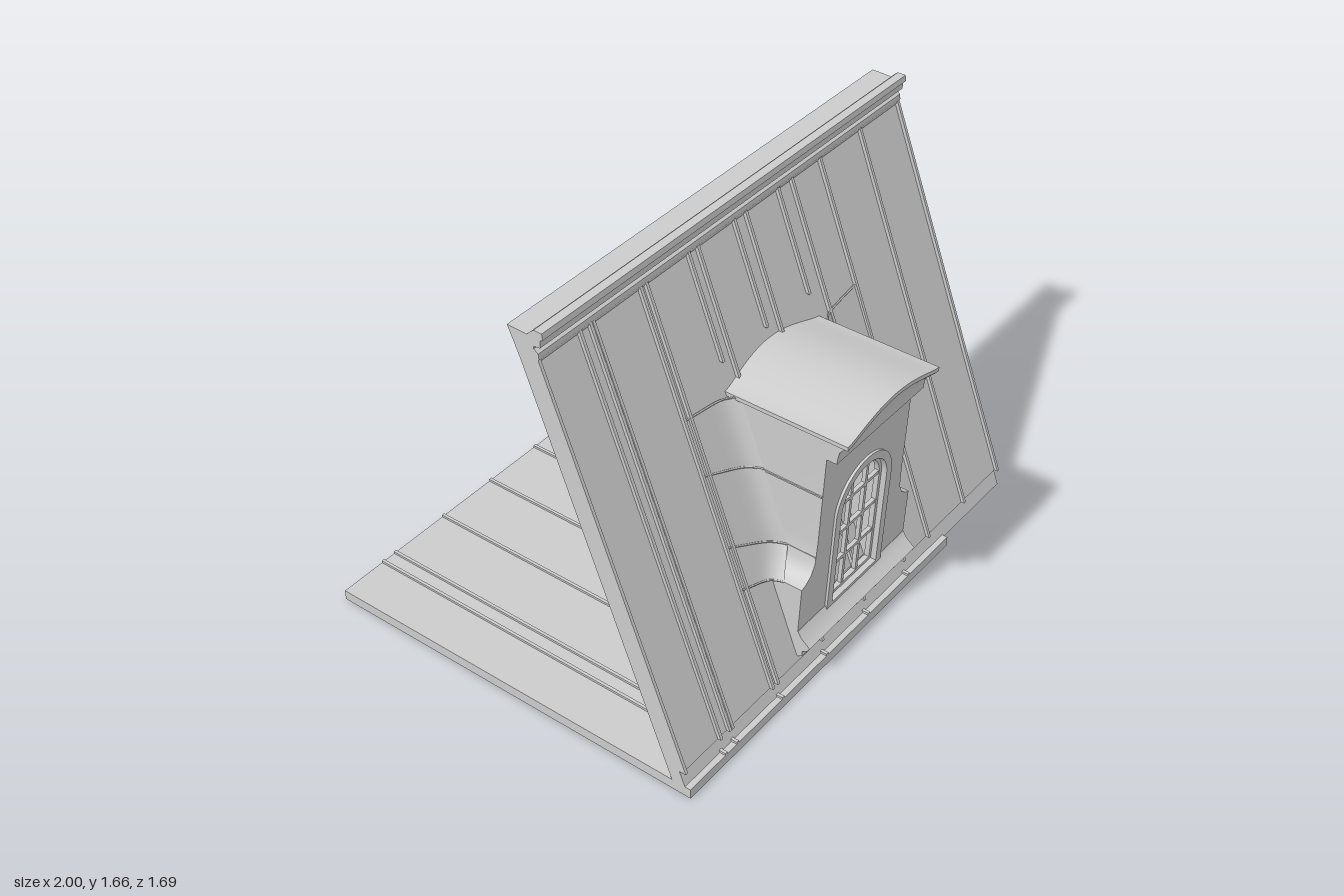
import * as THREE from 'three';
import { toCreasedNormals } from 'three/addons/utils/BufferGeometryUtils.js';

const mat = new THREE.MeshStandardMaterial({ color: 0xcccccc, side: THREE.DoubleSide });

// z of the back plane of the sloping roof, and of the dormer facade, at height y
const roofBack = (y) => 0.686 - 0.3866 * (y - 0.03);
const facade = (y) => 0.712 + 0.05 * (y - 0.1);

// rise of the curved dormer roof at x
const arch = (x) => 0.053 * Math.pow(1 - Math.min(1, Math.abs(x) / 0.275) ** 2, 1.4);

function add(parent, name, geo, crease = 0.6) {
  const g = toCreasedNormals(geo, crease);
  const m = new THREE.Mesh(g, mat);
  m.name = name;
  parent.add(m);
  return m;
}

// box given by its limits; shear(y) is added to z
function bar(parent, name, x0, x1, y0, y1, z0, z1, shear) {
  const g = new THREE.BoxGeometry(x1 - x0, y1 - y0, z1 - z0);
  g.translate((x0 + x1) / 2, (y0 + y1) / 2, (z0 + z1) / 2);
  if (shear) {
    const p = g.attributes.position;
    for (let i = 0; i < p.count; i++) p.setZ(i, p.getZ(i) + shear(p.getY(i)));
  }
  return add(parent, name, g, 0.3);
}

// extrudes a front outline, then maps its back and front caps to z rules
function between(parent, name, shape, back, front) {
  const g = new THREE.ExtrudeGeometry(shape, { depth: 1, bevelEnabled: false, curveSegments: 20 });
  const p = g.attributes.position;
  for (let i = 0; i < p.count; i++) {
    const y = p.getY(i);
    p.setZ(i, p.getZ(i) > 0.5 ? front(y) : back(y));
  }
  return add(parent, name, g);
}

// extrudes a side profile of [z, y] points along x
function moulding(parent, name, pts, halfWidth) {
  const s = new THREE.Shape(pts.map(([z, y]) => new THREE.Vector2(-z, y)));
  const g = new THREE.ExtrudeGeometry(s, { depth: halfWidth * 2, bevelEnabled: false });
  g.translate(0, 0, -halfWidth);
  g.rotateY(Math.PI / 2);
  return add(parent, name, g);
}

// surface from a rule f(u, v) -> [x, y, z]
function surface(parent, name, nu, nv, f) {
  const pos = [], idx = [];
  for (let j = 0; j <= nv; j++) for (let i = 0; i <= nu; i++) pos.push(...f(i / nu, j / nv));
  for (let j = 0; j < nv; j++) for (let i = 0; i < nu; i++) {
    const a = j * (nu + 1) + i, b = a + nu + 1;
    idx.push(a, a + 1, b + 1, a, b + 1, b);
  }
  const g = new THREE.BufferGeometry();
  g.setAttribute('position', new THREE.Float32BufferAttribute(pos, 3));
  g.setIndex(idx);
  return add(parent, name, g);
}

// round-headed opening outline
function archPath(Type, r, y0) {
  const s = new Type();
  s.moveTo(-r, y0);
  s.lineTo(r, y0);
  s.lineTo(r, 0.645);
  s.absarc(0, 0.645, r, 0, Math.PI, false);
  s.lineTo(-r, y0);
  return s;
}

const sharedSeams = [-0.8, -0.735, -0.47, -0.2, 0.065, 0.33];

function buildFloor() {
  const g = new THREE.Group();
  g.name = 'flatPanel';
  bar(g, 'panelSheet', -1, 0.6, 0.03, 0.041, -0.84, 0.76);
  for (const [z0, z1] of [[-0.84, -0.77], [0.69, 0.76]]) bar(g, 'panelRail', -1, 0.6, 0, 0.03, z0, z1);
  for (const [x0, x1] of [[-1, -0.91], [-0.86, -0.73], [0.53, 0.6]]) bar(g, 'panelStile', x0, x1, 0, 0.03, -0.77, 0.69);
  for (const x of sharedSeams) bar(g, 'panelSeam', x - 0.006, x + 0.006, 0.028, 0.05, -0.84, 0.76);
  return g;
}

function buildRoof() {
  const g = new THREE.Group();
  g.name = 'roofSlope';
  bar(g, 'roofSheet', -1, 1, 0.1, 1.62, 0.04, 0.068, roofBack);
  bar(g, 'eavesStrip', -1, 1, 0.03, 0.1, 0, 0.055, roofBack);
  bar(g, 'backRail', -1, 1, 0.1, 0.12, 0, 0.04, roofBack);
  bar(g, 'backRail', -1, 1, 1.54, 1.63, 0, 0.04, roofBack);
  for (const [x0, x1] of [[-1, -0.91], [-0.86, -0.73], [0.55, 0.65], [0.9, 1]])
    bar(g, 'backStile', x0, x1, 0.12, 1.54, 0, 0.04, roofBack);
  for (const x of [...sharedSeams, -0.75, -0.5, 0.5, 0.75, -0.994, 0.994])
    bar(g, 'roofSeam', x - 0.006, x + 0.006, 0.1, 1.56, 0.038, 0.082, roofBack);
  for (const x of [-0.25, 0, 0.25]) bar(g, 'shortSeam', x - 0.006, x + 0.006, 1.17, 1.56, 0.05, 0.082, roofBack);
  moulding(g, 'ridgeCap', [[0.06, 1.634], [0.14, 1.632], [0.155, 1.648], [0.167, 1.658], [0.2, 1.658], [0.203, 1.635],
    [0.192, 1.628], [0.19, 1.6], [0.165, 1.597], [0.165, 1.588], [0.182, 1.575], [0.184, 1.555], [0.172, 1.533], [0.105, 1.533]], 1);
  return g;
}

function buildDormer() {
  const g = new THREE.Group();
  g.name = 'dormer';

  // body with shouldered base, curved head and window opening
  const half = [[0.335, 0.12], [0.335, 0.43], [0.315, 0.437], [0.285, 0.46], [0.265, 0.5], [0.26, 0.6]];
  for (let i = 0; i <= 8; i++) { const x = 0.26 - i * 0.0325; half.push([x, 1.05 + arch(x)]); }
  const mirrored = half.slice(0, -1).reverse().map(([x, y]) => [-x, y]);
  const body = new THREE.Shape([...half, ...mirrored].map(([x, y]) => new THREE.Vector2(x, y)));
  body.holes.push(archPath(THREE.Path, 0.14, 0.235));
  between(g, 'dormerBody', body, (y) => roofBack(y) + 0.05, facade);

  // curved roof with overhang
  const top = new THREE.Shape();
  const n = 24, w = 0.275;
  for (let i = 0; i <= n; i++) { const x = -w + 2 * w * i / n; top[i ? 'lineTo' : 'moveTo'](x, 1.058 + arch(x)); }
  for (let i = n; i >= 0; i--) { const x = -w + 2 * w * i / n; top.lineTo(x, 1.074 + arch(x)); }
  between(g, 'dormerRoof', top, (y) => roofBack(y) + 0.05, () => 0.845);

  // coved cornice that bends up to follow the roof
  const cove = [[0.75, 0.972, 0], [0.797, 0.972, 0], [0.8, 1.0, 0.3], [0.806, 1.025, 0.7], [0.82, 1.042, 0.9], [0.838, 1.05, 1], [0.838, 1.06, 1]];
  surface(g, 'cornice', 24, cove.length - 1, (u, v) => {
    const [z, y, k] = cove[Math.round(v * (cove.length - 1))];
    const x = -0.262 + 0.524 * u;
    return [x, y + arch(x) * k, z];
  });
  for (const s of [-1, 1]) {
    const end = new THREE.Shape([...cove.map(([z, y]) => new THREE.Vector2(-z, y)), new THREE.Vector2(-0.75, 1.06)]);
    const geo = new THREE.ShapeGeometry(end);
    geo.rotateY(Math.PI / 2);
    geo.translate(s * 0.262, 0, 0);
    add(g, 'corniceEnd', geo);
  }

  // window surround, sash and glazing bars
  const surround = archPath(THREE.Shape, 0.17, 0.2);
  surround.holes.push(archPath(THREE.Path, 0.138, 0.235));
  between(g, 'windowSurround', surround, (y) => facade(y) - 0.03, (y) => facade(y) + 0.01);
  const sash = archPath(THREE.Shape, 0.142, 0.233);
  sash.holes.push(archPath(THREE.Path, 0.124, 0.25));
  between(g, 'windowSash', sash, (y) => facade(y) - 0.032, (y) => facade(y) - 0.012);
  for (const x of [-0.045, 0.045]) bar(g, 'uprightGlazingBar', x - 0.007, x + 0.007, 0.24, 0.768, -0.03, -0.014, facade);
  for (const y of [0.385, 0.52, 0.655]) bar(g, 'crossGlazingBar', -0.13, 0.13, y - 0.007, y + 0.007, -0.03, -0.014, facade);

  // projecting sill
  moulding(g, 'sill', [[0.68, 0.24], [0.72, 0.235], [0.735, 0.21], [0.772, 0.18], [0.762, 0.165], [0.74, 0.15],
    [0.742, 0.13], [0.725, 0.12], [0.68, 0.12]], 0.335);

  // coved flashing on each side, with lapped joints: [inner x, inner y, outer y]
  const laps = [[0.335, 0.43, 0.47], [0.262, 0.53, 0.63], [0.262, 0.81, 0.89], [0.262, 1.065, 1.085]];
  const flash = (s, lap, u) => {
    const t = u * u;
    const x = lap[0] + (0.5 - lap[0]) * t, y = lap[1] + (lap[2] - lap[1]) * t;
    return [s * x, y, roofBack(y) + 0.072 + 0.006 * (1 - t) + 0.045 * Math.pow(1 - t, 9)];
  };
  for (const s of [-1, 1]) {
    for (let k = 0; k < 3; k++) {
      surface(g, 'sideFlashing', 14, 6, (u, v) => {
        const lap = laps[k].map((a, i) => a + (laps[k + 1][i] - a) * v);
        return flash(s, lap, u);
      });
    }
    for (const lap of laps) {
      const pts = [];
      for (let i = 0; i <= 10; i++) pts.push(new THREE.Vector3(...flash(s, lap, i / 10)));
      add(g, 'flashingJoint', new THREE.TubeGeometry(new THREE.CatmullRomCurve3(pts), 20, 0.004, 5));
    }
    // level joints across the cheek
    for (const y of [0.53, 0.805])
      bar(g, 'cheekJoint', s * 0.262 - 0.003, s * 0.262 + 0.003, y - 0.003, y + 0.003, roofBack(y) + 0.06, facade(y) - 0.002);
  }
  return g;
}

export function createModel() {
  const model = new THREE.Group();
  model.name = 'roofWithDormer';
  model.add(buildFloor(), buildRoof(), buildDormer());
  return model;
}
